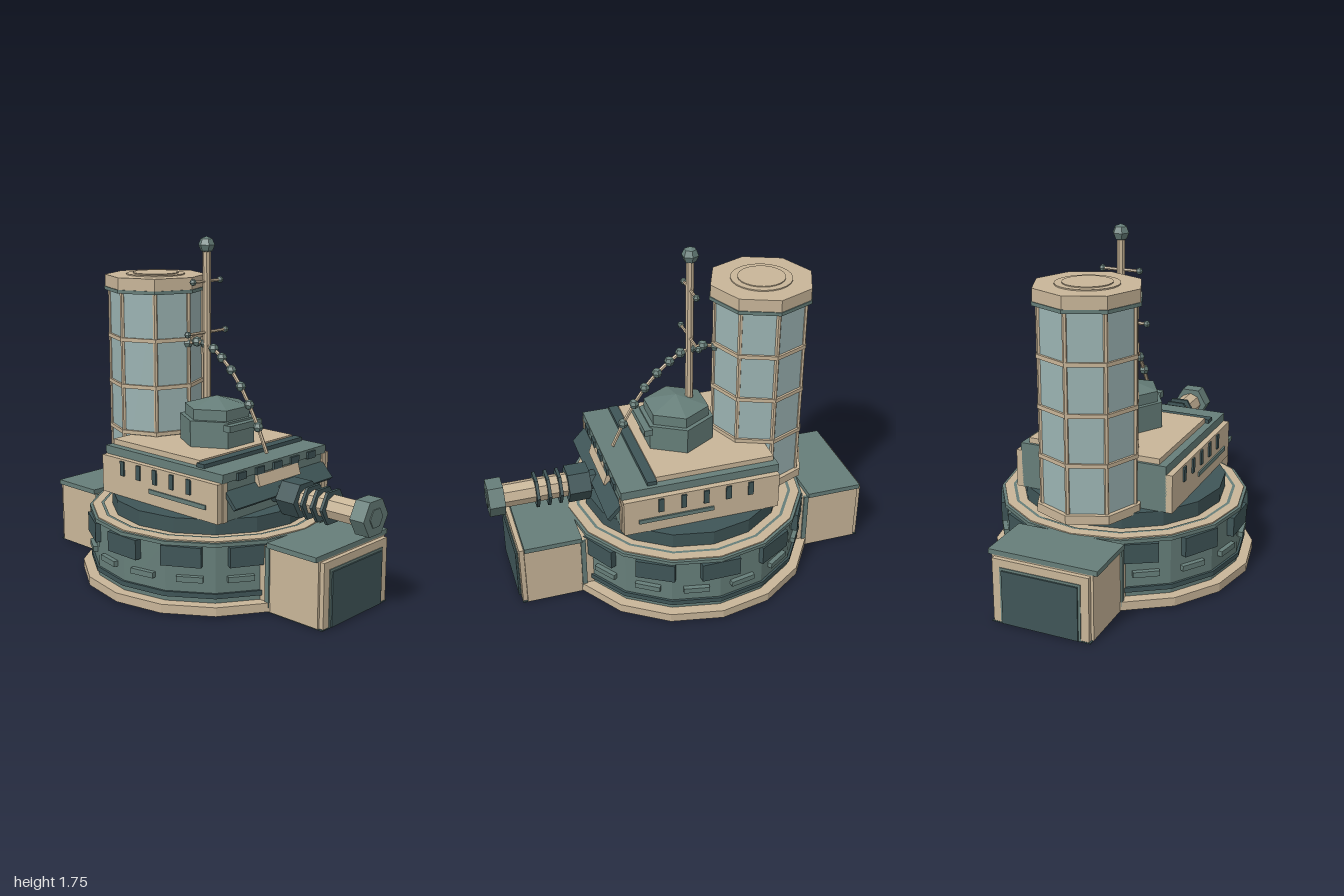
import * as THREE from 'three';

const mat = (name, color) => {
  const m = new THREE.MeshStandardMaterial({ color });
  m.name = name;
  return m;
};

export function createModel() {
  const cream = mat('cream', 0xc8b598);
  const teal = mat('teal', 0x667e79);
  const dark = mat('dark teal', 0x3f5557);
  const glass = mat('pale blue', 0x9bb3b2);
  const root = new THREE.Group();

  const group = (name, x = 0, y = 0, z = 0) => {
    const g = new THREE.Group();
    g.name = name;
    g.position.set(x, y, z);
    root.add(g);
    return g;
  };
  // Faceted mesh with one normal per face
  const add = (parent, name, geo, material, x = 0, y = 0, z = 0) => {
    const flat = geo.index ? geo.toNonIndexed() : geo;
    flat.computeVertexNormals();
    const m = new THREE.Mesh(flat, material);
    m.name = name;
    m.position.set(x, y, z);
    parent.add(m);
    return m;
  };
  // Box given by its extents
  const box = (p, name, material, x0, x1, y0, y1, z0, z1) =>
    add(p, name, new THREE.BoxGeometry(x1 - x0, y1 - y0, z1 - z0), material,
      (x0 + x1) / 2, (y0 + y1) / 2, (z0 + z1) / 2);
  // Upright prism between two heights
  const prism = (p, name, material, r, y0, y1, sides, turn = 0, rTop = r) =>
    add(p, name, new THREE.CylinderGeometry(rTop, r, y1 - y0, sides).rotateY(turn), material, 0, (y0 + y1) / 2, 0);
  // Rod between two points
  const rod = (p, name, material, a, b, r, sides = 6) => {
    const d = b.clone().sub(a);
    const m = add(p, name, new THREE.CylinderGeometry(r, r, d.length(), sides), material);
    m.position.copy(a).addScaledVector(d, 0.5);
    m.quaternion.setFromUnitVectors(new THREE.Vector3(0, 1, 0), d.normalize());
    return m;
  };
  const V = (x, y, z) => new THREE.Vector3(x, y, z);
  const bead = (p, name, material, v, r) =>
    add(p, name, new THREE.SphereGeometry(r, 6, 4), material, v.x, v.y, v.z);

  // Round base with bands, windows and slits
  const base = group('base', 0, 0, -0.05);
  prism(base, 'plinth', cream, 0.68, 0.01, 0.055, 16);
  prism(base, 'baseWall', teal, 0.625, 0.055, 0.345, 16);
  prism(base, 'lowerBand', dark, 0.637, 0.08, 0.105, 16);
  prism(base, 'upperRim', teal, 0.64, 0.34, 0.358, 16);
  prism(base, 'baseTop', cream, 0.625, 0.35, 0.364, 16);
  add(base, 'topGroove', new THREE.RingGeometry(0.565, 0.58, 16).rotateX(-Math.PI / 2), teal, 0, 0.367, 0);
  const around = (count, offset, name, material, w, h, d, r, y) => {
    for (let i = 0; i < count; i++) {
      const a = ((i + offset) / count) * Math.PI * 2;
      if (Math.abs(Math.sin(a)) > 0.97) continue;
      const m = add(base, name, new THREE.BoxGeometry(w, h, d), material,
        Math.cos(a) * r, y, Math.sin(a) * r);
      m.rotation.y = Math.PI / 2 - a;
    }
  };
  around(12, 0, 'baseWindow', dark, 0.2, 0.1, 0.04, 0.62, 0.288);
  around(16, 0.5, 'baseSlit', teal, 0.13, 0.028, 0.03, 0.622, 0.175);

  // Front and back porches, measured outward from the base
  for (const s of [1, -1]) {
    const p = group(s > 0 ? 'frontPorch' : 'backPorch', 0, 0, s > 0 ? 0 : -0.1);
    if (s < 0) p.rotation.y = Math.PI;
    box(p, 'porchBody', cream, -0.26, 0.26, 0.006, 0.335, 0.45, 0.865);
    box(p, 'porchFloor', dark, -0.255, 0.255, 0, 0.006, 0.5, 0.89);
    box(p, 'porchRoof', teal, -0.28, 0.28, 0.335, 0.36, 0.57, 0.865);
    box(p, 'porchFrame', cream, -0.247, 0.247, 0.006, 0.33, 0.86, 0.888);
    box(p, 'doorTrim', teal, -0.207, 0.207, 0.006, 0.29, 0.885, 0.892);
    box(p, 'door', dark, -0.195, 0.195, 0.006, 0.278, 0.89, 0.9);
    for (const x of [-0.26, 0.26])
      box(p, 'rearTrim', teal, x - 0.008, x + 0.008, 0.03, 0.335, 0.55, 0.575);
  }

  // Turret housing
  const collar = group('turretCollar', 0, 0, -0.045);
  prism(collar, 'collar', dark, 0.525, 0.36, 0.44, 16);
  const turret = group('turret');
  box(turret, 'turretBody', teal, -0.39, 0.39, 0.44, 0.64, -0.43, 0.385);
  box(turret, 'turretLid', teal, -0.39, 0.39, 0.635, 0.678, -0.435, 0.39);
  box(turret, 'deck', cream, -0.35, 0.35, 0.678, 0.706, -0.42, 0.2);
  box(turret, 'deckBar', dark, -0.37, 0.37, 0.675, 0.698, 0.2, 0.25);
  for (const s of [-1, 1]) {
    box(turret, 'sidePanel', cream, Math.min(s * 0.385, s * 0.42), Math.max(s * 0.385, s * 0.42), 0.44, 0.635, -0.43, 0.385);
    for (let i = 0; i < 5; i++) {
      const z = 0.195 - i * 0.1175;
      box(turret, 'sideSlot', dark, s * 0.422 - 0.006, s * 0.422 + 0.006, 0.55, 0.625, z - 0.014, z + 0.014);
    }
    box(turret, 'sideRail', teal, s * 0.422 - 0.006, s * 0.422 + 0.006, 0.498, 0.52, -0.08, 0.31);
    box(turret, 'frontEdge', cream, s * 0.375 - 0.015, s * 0.375 + 0.015, 0.44, 0.635, 0.38, 0.392);
  }
  for (let i = -2; i <= 2; i++)
    box(turret, 'frontSlot', dark, i * 0.132 - 0.03, i * 0.132 + 0.03, 0.632, 0.668, 0.385, 0.402);
  const plate = box(turret, 'frontPlate', cream, -0.155, 0.155, 0.57, 0.63, 0.385, 0.41);
  plate.rotation.x = -0.3;
  const visor = box(turret, 'frontVisor', dark, -0.37, 0.37, 0.5, 0.6, 0.405, 0.425);
  visor.rotation.x = -0.75;

  // Gun
  const gun = group('gun', 0, 0.51, 0);
  const barrelPart = (name, material, r, z0, z1, sides = 6) =>
    add(gun, name, new THREE.CylinderGeometry(r, r, z1 - z0, sides).rotateY(Math.PI / 2).rotateX(Math.PI / 2),
      material, 0, 0, (z0 + z1) / 2);
  barrelPart('gunNeck', dark, 0.05, 0.37, 0.48);
  barrelPart('mantlet', dark, 0.097, 0.465, 0.58);
  barrelPart('barrel', cream, 0.063, 0.57, 0.92, 8);
  for (const z of [0.62, 0.68, 0.74]) barrelPart('barrelRing', dark, 0.092, z - 0.008, z + 0.008);
  barrelPart('muzzle', teal, 0.097, 0.91, 0.99);
  barrelPart('muzzleFace', teal, 0.05, 0.98, 0.995);

  // Cupola
  const cupola = group('cupola', 0, 0, -0.015);
  prism(cupola, 'cupolaWall', teal, 0.195, 0.7, 0.84, 6, Math.PI / 2);
  prism(cupola, 'cupolaUpper', teal, 0.17, 0.84, 0.895, 6, Math.PI / 2);
  prism(cupola, 'cupolaRoof', teal, 0.17, 0.895, 0.942, 6, Math.PI / 2, 0.001);
  box(cupola, 'cupolaVisor', teal, -0.12, 0.12, 0.797, 0.83, 0.16, 0.203);

  // Mast with crossbars
  const mast = group('mast', 0, 0, -0.085);
  prism(mast, 'mastPole', cream, 0.021, 0.7, 1.68, 8);
  bead(mast, 'mastKnob', teal, V(0, 1.702, 0), 0.043);
  for (const [y, w] of [[1.26, 0.138], [1.52, 0.098]]) {
    rod(mast, 'crossbar', cream, V(-w, y, 0), V(w, y, 0), 0.008);
    for (const s of [-1, 1]) bead(mast, 'crossbarKnob', teal, V(s * w, y, 0), 0.018);
  }

  // Beaded cable from the deck to the tank
  const cable = group('cable');
  const path = [[0.326, 0.695], [0.267, 0.82], [0.207, 0.925], [0.15, 1.01], [0.085, 1.085], [0.02, 1.14],
    [-0.037, 1.18], [-0.096, 1.2], [-0.155, 1.203], [-0.22, 1.19]].map(([z, y]) => V(0, y, z));
  path.forEach((p, i) => {
    if (i === 0) return;
    rod(cable, 'cableLink', cream, path[i - 1], p, 0.01);
    bead(cable, 'cableBead', teal, p, 0.027);
  });

  // Eight-sided tank
  const tank = group('tank', 0, 0, -0.457);
  prism(tank, 'tankFoot', cream, 0.267, 0.43, 0.475, 8);
  prism(tank, 'tankGlass', glass, 0.243, 0.47, 1.455, 8);
  for (const y of [0.72, 0.965, 1.21]) prism(tank, 'tankBand', cream, 0.256, y - 0.01, y + 0.01, 8);
  for (let i = 0; i < 8; i++) {
    const a = (i * Math.PI) / 4;
    const x = Math.cos(a) * 0.24, z = Math.sin(a) * 0.24;
    rod(tank, 'tankPost', cream, V(x, 0.47, z), V(x, 1.455, z), 0.012);
  }
  prism(tank, 'tankRim', teal, 0.272, 1.45, 1.468, 8);
  prism(tank, 'tankCap', cream, 0.267, 1.466, 1.53, 8);
  prism(tank, 'hatchRing', cream, 0.155, 1.53, 1.536, 24);
  prism(tank, 'hatch', cream, 0.12, 1.536, 1.541, 24);

  return root;
}
